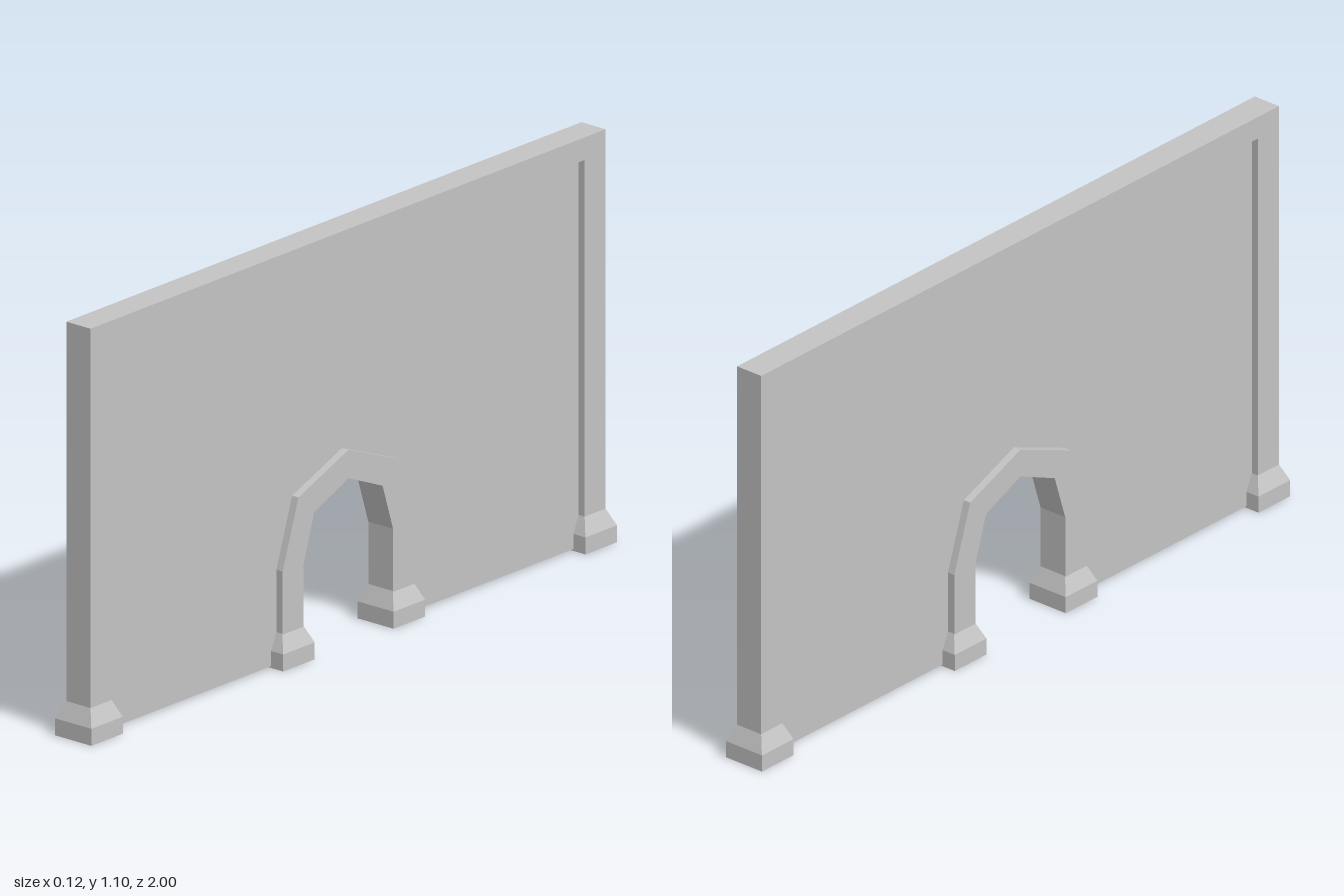
import * as THREE from 'three';

// Extrude a [z, y] outline across the wall thickness, centred on x = 0
function slab(points, halfThickness) {
  const shape = new THREE.Shape(points.map(([z, y]) => new THREE.Vector2(z, y)));
  const geo = new THREE.ExtrudeGeometry(shape, { depth: halfThickness * 2, bevelEnabled: false });
  geo.translate(0, 0, -halfThickness);
  geo.rotateY(-Math.PI / 2);
  return geo;
}

// Complete an outline by mirroring its +z half
const mirror = (half) => [...half, ...half.slice().reverse().filter(([z]) => z > 0).map(([z, y]) => [-z, y])];

export function createModel() {
  const group = new THREE.Group();
  const stone = new THREE.MeshStandardMaterial({ color: 0xc4c4c4, flatShading: true });
  stone.name = 'greyStone';

  const add = (name, geo, z = 0) => {
    const mesh = new THREE.Mesh(geo, stone);
    mesh.name = name;
    mesh.position.z = z;
    group.add(mesh);
  };

  // Outer frame: two posts joined by the top beam
  add('outerFrame', slab(mirror([[0.9, 0], [0.98, 0], [0.98, 1.095]])
    .concat([[-0.9, 1.035], [0.9, 1.035]]), 0.04));

  // Recessed wall panel with the doorway notch, stopping just short of the beam
  const notch = [[0.21, 0.005], [0.21, 0.25], [0.16, 0.41], [0, 0.47]];
  const panel = [
    [0.94, 0.005], [0.94, 0.98], [0.9, 1.024],
    [-0.9, 1.024], [-0.94, 0.98], [-0.94, 0.005],
    ...mirror(notch).reverse(),
  ];
  add('wallPanel', slab(panel, 0.02));

  // Faceted doorway arch
  const outer = mirror([[0.25, 0], [0.25, 0.255], [0.19, 0.435], [0, 0.51]]);
  const inner = mirror([[0.17, 0], [0.17, 0.255], [0.13, 0.38], [0, 0.435]]);
  add('doorArch', slab([...outer, ...inner.reverse()], 0.041));

  // Feet: a square block whose top tapers in to the post
  const foot = new THREE.BoxGeometry(0.12, 0.09, 0.12, 1, 2, 1);
  const pos = foot.attributes.position;
  for (let i = 0; i < pos.count; i++) {
    const top = pos.getY(i) > 0.01;
    const k = top ? 0.04 / 0.06 : 1;
    pos.setXYZ(i, pos.getX(i) * k, pos.getY(i) + 0.045, pos.getZ(i) * k);
  }
  foot.computeVertexNormals();
  for (const side of [1, -1]) {
    add('postFoot', foot, side * 0.94);
    add('archFoot', foot, side * 0.21);
  }
  return group;
}
